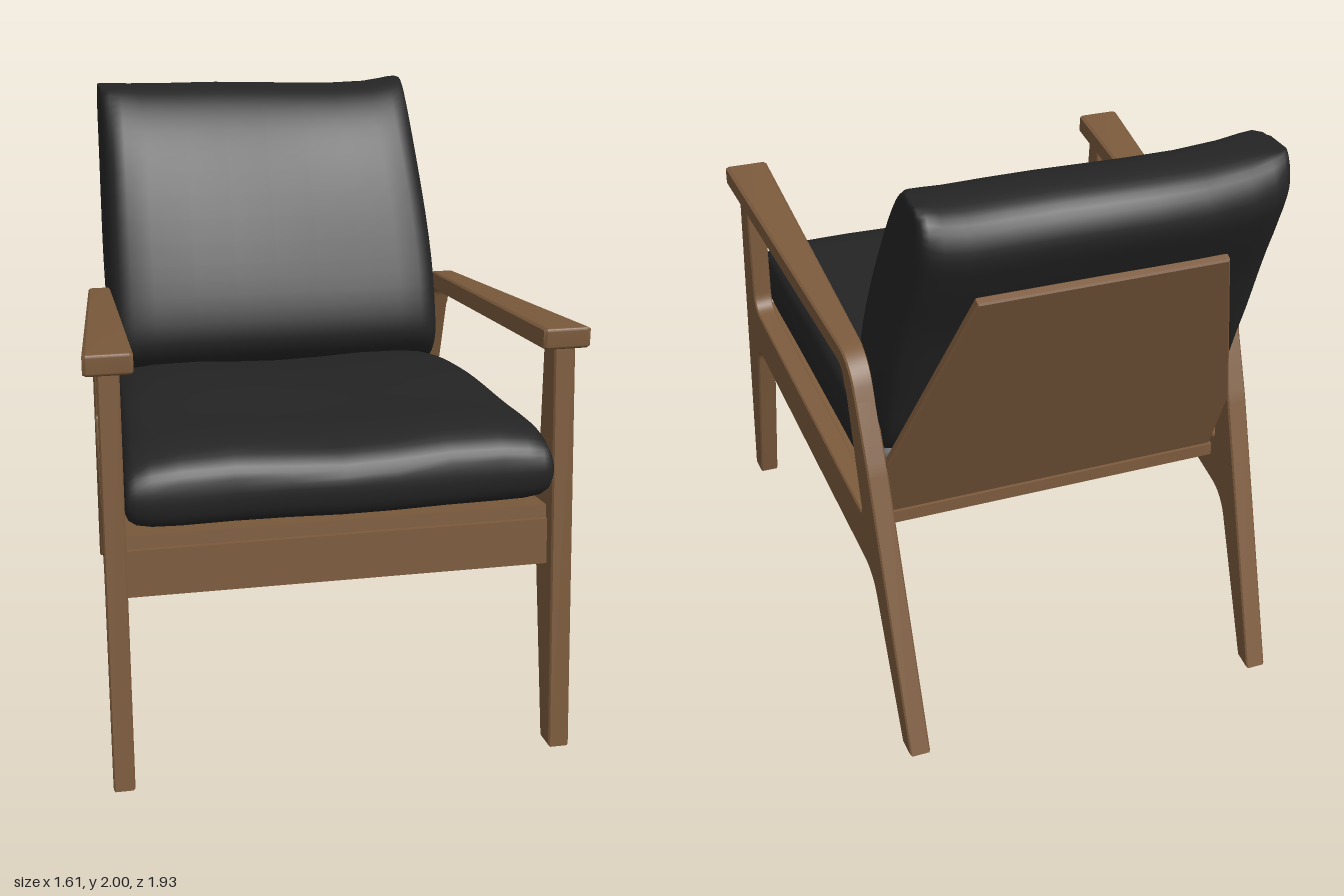
import * as THREE from 'three';
import { toCreasedNormals } from 'three/addons/utils/BufferGeometryUtils.js';

// Centre line of the side frames: they spread apart towards the front
const frameX = (z) => 0.635 + (z + 0.92) * 0.052;
const HALF = 0.035;

// Closed outline from [z, y, cornerRadius] points
function outline(path, pts) {
  const n = pts.length;
  pts.forEach(([z, y, r = 0], i) => {
    const here = new THREE.Vector2(-z, y);
    const toward = (p) => {
      const q = new THREE.Vector2(-p[0], p[1]);
      return here.clone().add(q.sub(here).setLength(r));
    };
    const a = toward(pts[(i + n - 1) % n]);
    const b = toward(pts[(i + 1) % n]);
    if (i === 0) path.moveTo(a.x, a.y);
    else path.lineTo(a.x, a.y);
    if (r > 0) path.quadraticCurveTo(here.x, here.y, b.x, b.y);
  });
  path.closePath();
  return path;
}

// Side profile extruded across x, with centre and half width varying along z
function sideways(pts, hole, centre, halfWidth, bevel = 0.006) {
  const shape = outline(new THREE.Shape(), pts);
  if (hole) shape.holes.push(outline(new THREE.Path(), hole));
  const geo = new THREE.ExtrudeGeometry(shape, {
    depth: 2 - 0.3 * (bevel > 0), curveSegments: 8,
    bevelEnabled: bevel > 0, bevelThickness: 0.15, bevelSize: bevel, bevelOffset: -bevel, bevelSegments: 1,
  });
  geo.translate(0, 0, -1 + 0.15 * (bevel > 0));
  geo.rotateY(Math.PI / 2);
  const p = geo.attributes.position;
  for (let i = 0; i < p.count; i++) {
    const z = p.getZ(i);
    p.setX(i, centre(z) + p.getX(i) * halfWidth(z));
  }
  return toCreasedNormals(geo, 0.45);
}

// Soft cushion: a closed [z, y] profile swept across x and pinched at both ends
function cushion(profile, pivot, axis, place) {
  const curve = new THREE.CatmullRomCurve3(profile.map(([z, y]) => new THREE.Vector3(0, y, z)), true, 'centripetal');
  const ring = curve.getPoints(64).slice(0, 64);
  const half = [[1, 0], [1, 0.55], [0.985, 0.75], [0.95, 0.88], [0.88, 0.95], [0.75, 0.985], [0.5, 1], [0.25, 1]];
  const stations = [...half.map(([u, s]) => [-u, s]), [0, 1], ...half.slice().reverse()];
  const d = new THREE.Vector2(...axis).normalize();
  const pos = [], idx = [], m = ring.length;
  stations.forEach(([u, s], i) => {
    ring.forEach((p, j) => {
      const dz = p.z - pivot[0], dy = p.y - pivot[1];
      const a = (dz * d.x + dy * d.y) * (1 - (1 - s) * 0.08);
      const b = (-dz * d.y + dy * d.x) * s;
      pos.push(...place(u, pivot[1] + a * d.y + b * d.x, pivot[0] + a * d.x - b * d.y));
      if (i < stations.length - 1) {
        const k = i * m + j, l = i * m + (j + 1) % m;
        idx.push(k, l, k + m, l, l + m, k + m);
      }
    });
  });
  const geo = new THREE.BufferGeometry();
  geo.setAttribute('position', new THREE.Float32BufferAttribute(pos, 3));
  geo.setIndex(idx);
  geo.computeVertexNormals();
  return geo;
}

export function createModel() {
  const model = new THREE.Group();
  const wood = new THREE.MeshStandardMaterial({ color: 0x7b5a3c });
  wood.name = 'wood';
  const fabric = new THREE.MeshStandardMaterial({ color: 0x242424 });
  fabric.name = 'black fabric';
  const add = (name, geo, mat) => {
    const mesh = new THREE.Mesh(geo, mat);
    mesh.name = name;
    model.add(mesh);
    return mesh;
  };

  // Side frames: both legs and the side rail in one piece, around an opening
  const frame = [
    [0.968, 0], [0.832, 1.41], [-0.455, 1.302, 0.1], [-0.6, 0.955, 0.02], [-0.93, 0], [-0.85, 0],
    [-0.605, 0.548, 0.08], [0.755, 0.686, 0.07], [0.889, 0],
  ];
  const opening = [[0.745, 1.385], [0.752, 0.87, 0.07], [-0.525, 0.738, 0.03], [-0.39, 1.243, 0.04]];
  // Armrests: wide at the front, bending down into the rear leg
  const arm = [
    [0.85, 1.443, 0.012], [-0.455, 1.304, 0.1], [-0.512, 1.168], [-0.412, 1.168],
    [-0.39, 1.243, 0.04], [0.85, 1.372, 0.012],
  ];
  const armHalf = (z) => 0.0355 + Math.max(0, z + 0.5) * 0.0315;
  for (const [side, s] of [['left', 1], ['right', -1]]) {
    const centre = (z) => s * frameX(z);
    add(side + 'SideFrame', sideways(frame, opening, centre, () => HALF), wood);
    add(side + 'Armrest', sideways(arm, null, centre, armHalf), wood);
  }

  // Cross parts between the frames
  const inner = (z) => frameX(z) - HALF + 0.004;
  const middle = () => 0;
  add('frontRail', sideways([[0.85, 0.79], [0.862, 0.635], [0.81, 0.635], [0.8, 0.79]], null, middle, inner, 0), wood);
  add('seatBoard', sideways([[0.835, 0.835], [0.84, 0.792], [-0.5, 0.655], [-0.5, 0.7]], null, middle, inner, 0), wood);

  // Back panel: full width between the legs, then tapering to the top
  const back = new THREE.Shape([
    [-0.62, 0], [0.62, 0], [0.62, 0.32], [0.41, 1.11], [-0.41, 1.11], [-0.62, 0.32],
  ].map(([x, y]) => new THREE.Vector2(x, y)));
  const panel = add('backPanel', new THREE.ExtrudeGeometry(back, {
    depth: 0.02, bevelThickness: 0.006, bevelSize: 0.006, bevelOffset: -0.006, bevelSegments: 1,
  }), wood);
  panel.position.set(0, 0.67, -0.47);
  panel.rotation.x = -0.405;

  // Seat cushion follows the spread of the frames
  add('seatCushion', cushion(
    [[-0.5, 0.84], [-0.47, 0.95], [-0.3, 1.02], [0.1, 1.085], [0.5, 1.1], [0.76, 1.105], [0.87, 1.06],
      [0.905, 0.98], [0.885, 0.89], [0.8, 0.848], [0.4, 0.815], [-0.1, 0.768], [-0.42, 0.738], [-0.49, 0.76]],
    [0.2, 0.92], [1, 0.09],
    (u, y, z) => [u * (frameX(Math.min(z, 0.86)) - HALF), y - 0.008 * Math.cos(u * 5) * (y > 1),
      z + 0.008 * Math.sin(u * 6 + 1) * (z > 0.8)],
  ), fabric);

  // Back cushion leans on the panel, plump and a little uneven along its top
  add('backCushion', cushion(
    [[-0.45, 0.935], [-0.56, 1.0], [-0.67, 1.25], [-0.79, 1.53], [-0.9, 1.74], [-0.945, 1.86], [-0.9, 1.96],
      [-0.81, 1.998], [-0.69, 1.985], [-0.59, 1.91], [-0.47, 1.74], [-0.31, 1.4], [-0.235, 1.18],
      [-0.235, 1.09], [-0.33, 0.985]],
    [-0.59, 1.46], [-0.42, 1],
    (u, y, z) => {
      const top = THREE.MathUtils.smoothstep(y, 1.3, 2);
      const width = 0.625 - top * (u > 0 ? 0.045 : 0.015);
      const lift = top * (Math.abs(u) ** 6 * 0.045 - 0.016 * Math.max(0, u + 0.2));
      return [u * width, Math.min(2, y + lift), z - 0.018 * top * Math.cos((u + 0.4) * 3.5)];
    },
  ), fabric);

  return model;
}
